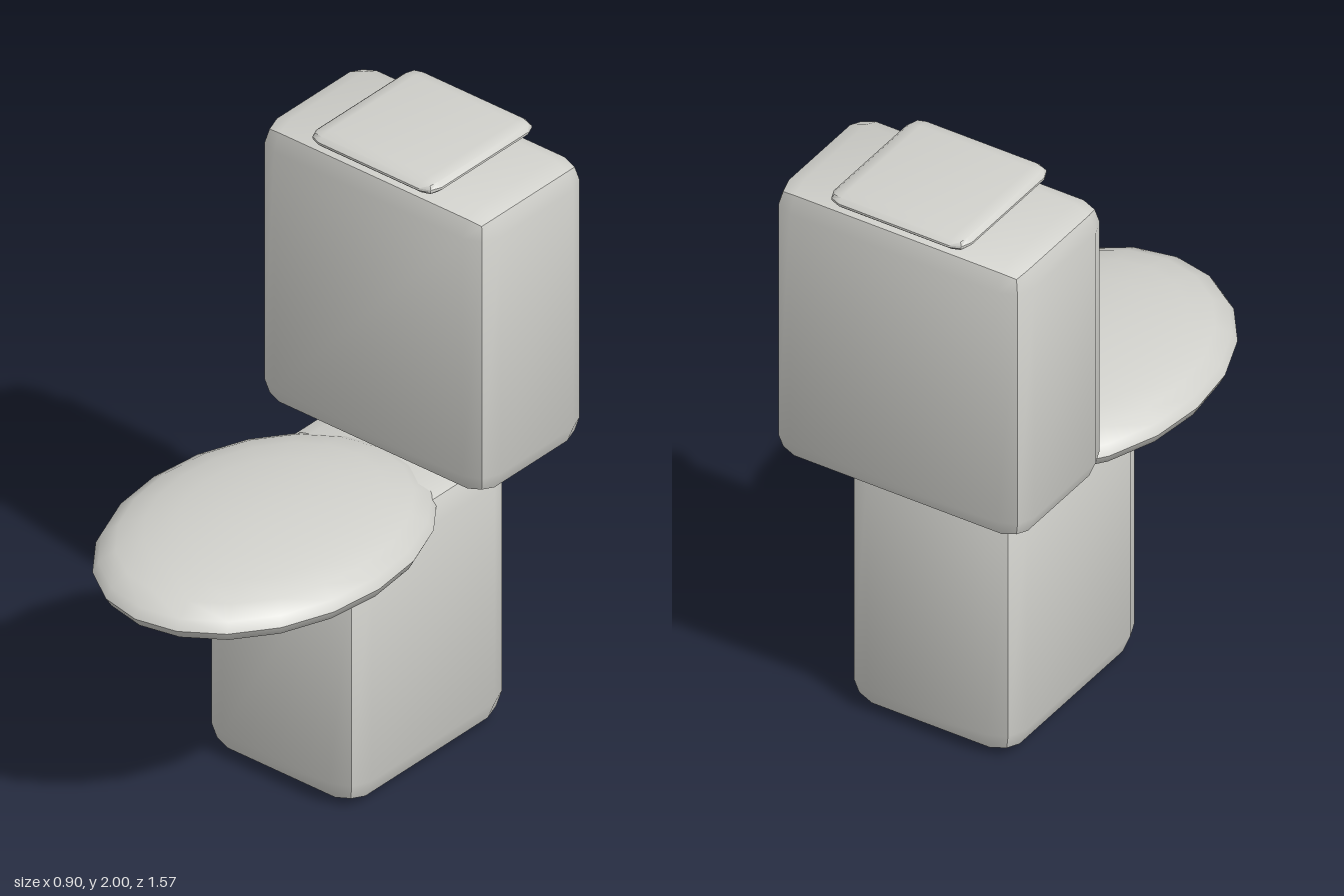
import * as THREE from 'three';
import { RoundedBoxGeometry } from 'three/addons/geometries/RoundedBoxGeometry.js';
import { toCreasedNormals } from 'three/addons/utils/BufferGeometryUtils.js';

const CREASE = 0.7;

export function createModel() {
  const model = new THREE.Group();
  model.name = 'toilet';
  const porcelain = new THREE.MeshStandardMaterial({ color: 0xd0d0cb });
  porcelain.name = 'porcelain';

  const add = (name, geometry, x, y, z) => {
    const mesh = new THREE.Mesh(toCreasedNormals(geometry, CREASE), porcelain);
    mesh.name = name;
    mesh.position.set(x, y, z);
    model.add(mesh);
  };

  // Bevelled block given by its size, bevel radius and a vertical squash
  const block = (w, h, d, radius, squash = 1) =>
    new RoundedBoxGeometry(w, h / squash, d, 1, radius).scale(1, squash, 1);

  // Pedestal and cistern
  add('pedestal', block(0.6, 0.95, 0.745, 0.09), 0, 0.475, -0.235);
  add('cistern', block(0.896, 1.0, 0.496, 0.08), 0, 1.455, -0.537);

  // Thin plate on top of the cistern
  add('cisternLid', block(0.49, 0.045, 0.496, 0.05, 0.375), 0, 1.9775, -0.537);

  // Flattened oval bowl
  add('bowl', new THREE.SphereGeometry(1, 20, 12).scale(0.448, 0.122, 0.597), 0, 0.902, 0.188);

  return model;
}
